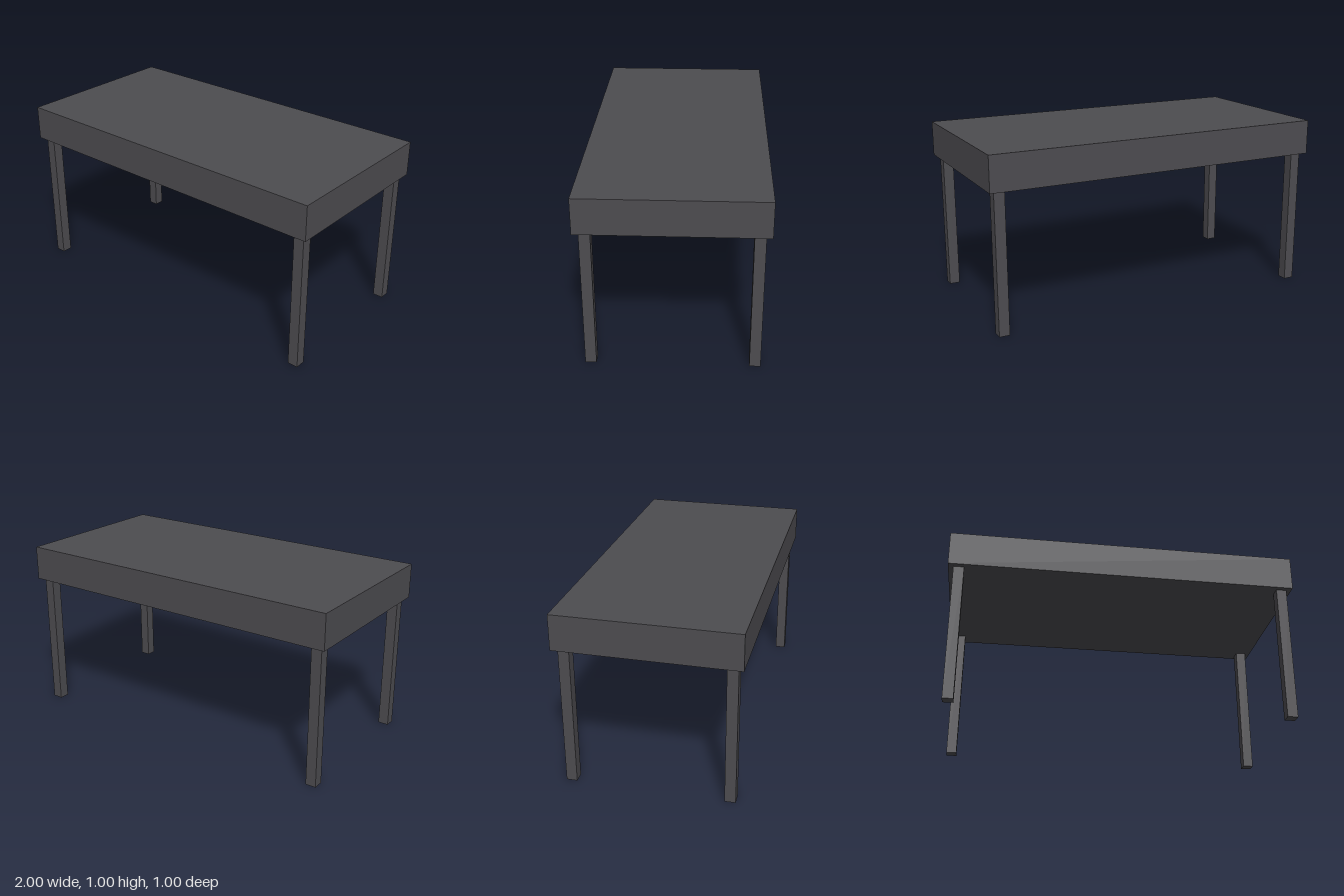
import * as THREE from 'three';

const TOP = { width: 2, height: 0.2, depth: 1 };
const LEG = { size: 0.06, height: 0.8, x: 0.94, z: 0.44 };

export function createModel() {
  const table = new THREE.Group();
  table.name = 'table';
  const material = new THREE.MeshStandardMaterial({ color: 0x4d4c50 });

  const addBox = (name, w, h, d, x, y, z) => {
    const mesh = new THREE.Mesh(new THREE.BoxGeometry(w, h, d), material);
    mesh.name = name;
    mesh.position.set(x, y, z);
    table.add(mesh);
  };

  // Thick slab top
  addBox('tableTop', TOP.width, TOP.height, TOP.depth, 0, LEG.height + TOP.height / 2, 0);

  // Four square legs, set in slightly from the corners
  for (const [endName, sz] of [['front', 1], ['back', -1]]) {
    for (const [sideName, sx] of [['Left', 1], ['Right', -1]]) {
      addBox(`${endName}${sideName}Leg`, LEG.size, LEG.height, LEG.size,
        sx * LEG.x, LEG.height / 2, sz * LEG.z);
    }
  }
  return table;
}
